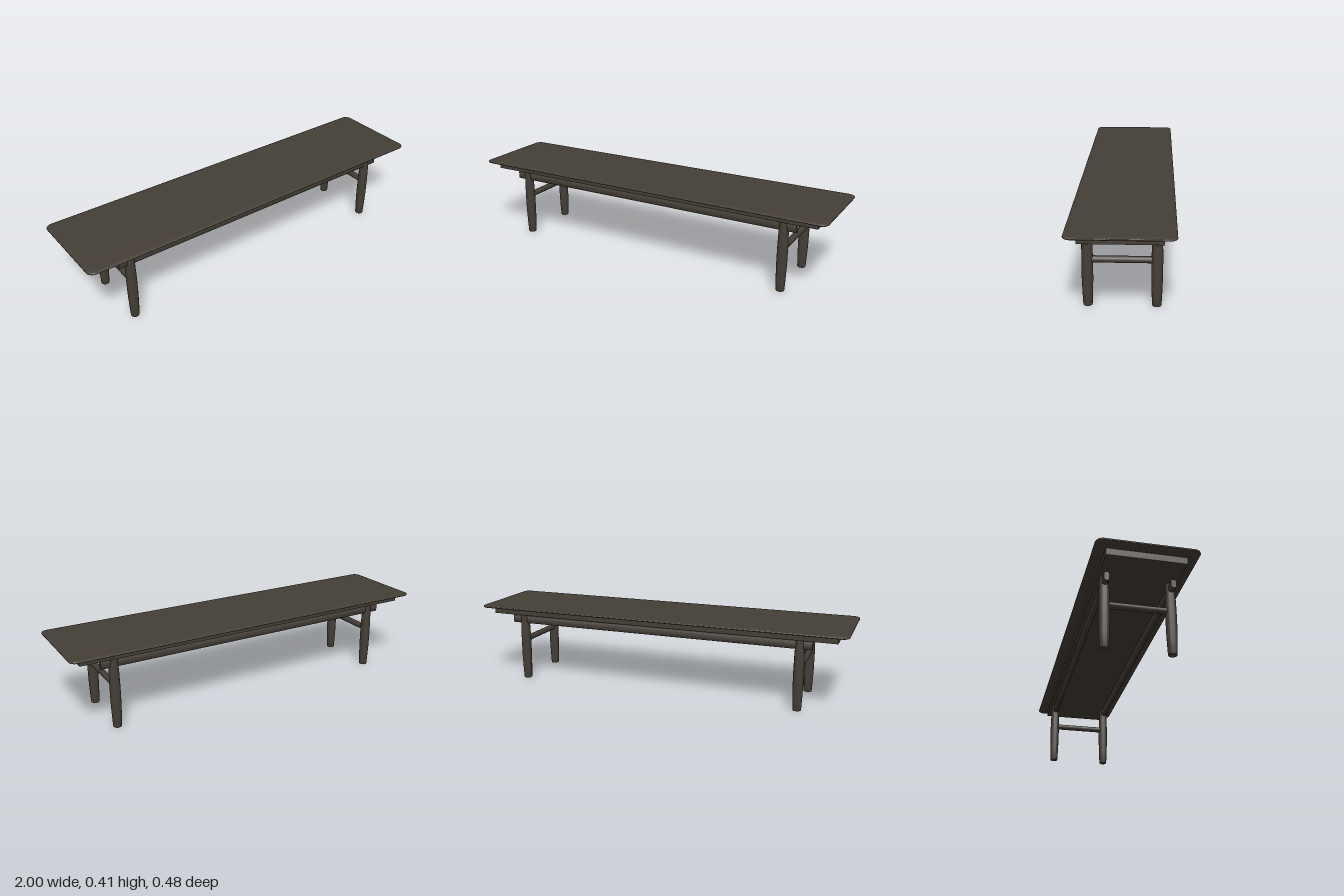
import * as THREE from 'three';
import { toCreasedNormals } from 'three/addons/utils/BufferGeometryUtils.js';

const wood = new THREE.MeshStandardMaterial({ color: 0x443e36 });
wood.name = 'dark wood';

function part(name, geometry, x = 0, y = 0, z = 0) {
  const mesh = new THREE.Mesh(geometry, wood);
  mesh.name = name;
  mesh.position.set(x, y, z);
  return mesh;
}

// Rounded rectangle centred on the origin
function roundedRect(w, h, r) {
  const x = w / 2, y = h / 2, s = new THREE.Shape();
  s.moveTo(-x + r, -y);
  s.lineTo(x - r, -y).absarc(x - r, -y + r, r, -Math.PI / 2, 0);
  s.lineTo(x, y - r).absarc(x - r, y - r, r, 0, Math.PI / 2);
  s.lineTo(-x + r, y).absarc(-x + r, y - r, r, Math.PI / 2, Math.PI);
  s.lineTo(-x, -y + r).absarc(-x + r, -y + r, r, Math.PI, Math.PI * 1.5);
  return s;
}

export function createModel() {
  const bench = new THREE.Group();
  bench.name = 'bench';

  // Seat: thin board with a long, soft bevel all round
  const bevel = 0.03;
  const seat = new THREE.ExtrudeGeometry(roundedRect(2 - 2 * bevel, 0.478 - 2 * bevel, 0.006), {
    depth: 0.003, bevelThickness: 0.007, bevelSize: bevel, bevelSegments: 6, curveSegments: 6,
  });
  seat.translate(0, 0, -0.0015).rotateX(-Math.PI / 2);
  bench.add(part('seat', toCreasedNormals(seat, 0.6), 0, 0.406, 0));

  // Support board under the seat
  bench.add(part('underSeat', new THREE.BoxGeometry(1.89, 0.036, 0.372), 0, 0.382, 0));

  // Swelling turned leg
  const profile = [[0, 0], [0.0205, 0], [0.0215, 0.004], [0.024, 0.06], [0.026, 0.13],
    [0.0262, 0.22], [0.0245, 0.3], [0.0215, 0.365], [0, 0.365]];
  const leg = toCreasedNormals(
    new THREE.LatheGeometry(profile.map(([r, y]) => new THREE.Vector2(r, y)), 24), 0.7);

  // Long rail with an oval section, running along x through the leg tops
  const rail = new THREE.ExtrudeGeometry(roundedRect(0.026, 0.044, 0.011),
    { depth: 1.66, bevelEnabled: false, curveSegments: 6 });
  rail.translate(0, 0, -0.83).rotateY(Math.PI / 2);
  const railGeometry = toCreasedNormals(rail, 0.7);

  // Round cross bar joining each pair of legs
  const bar = new THREE.CylinderGeometry(0.016, 0.016, 0.29, 20).rotateX(Math.PI / 2);

  for (const [side, z] of [['front', 0.156], ['back', -0.156]]) {
    bench.add(part(side + 'Rail', railGeometry, 0.008, 0.337, z));
    bench.add(part(side + 'LeftLeg', leg, 0.772, 0, z));
    bench.add(part(side + 'RightLeg', leg, -0.76, 0, z));
  }
  bench.add(part('leftCrossBar', bar, 0.772, 0.223, 0));
  bench.add(part('rightCrossBar', bar, -0.76, 0.223, 0));

  return bench;
}
